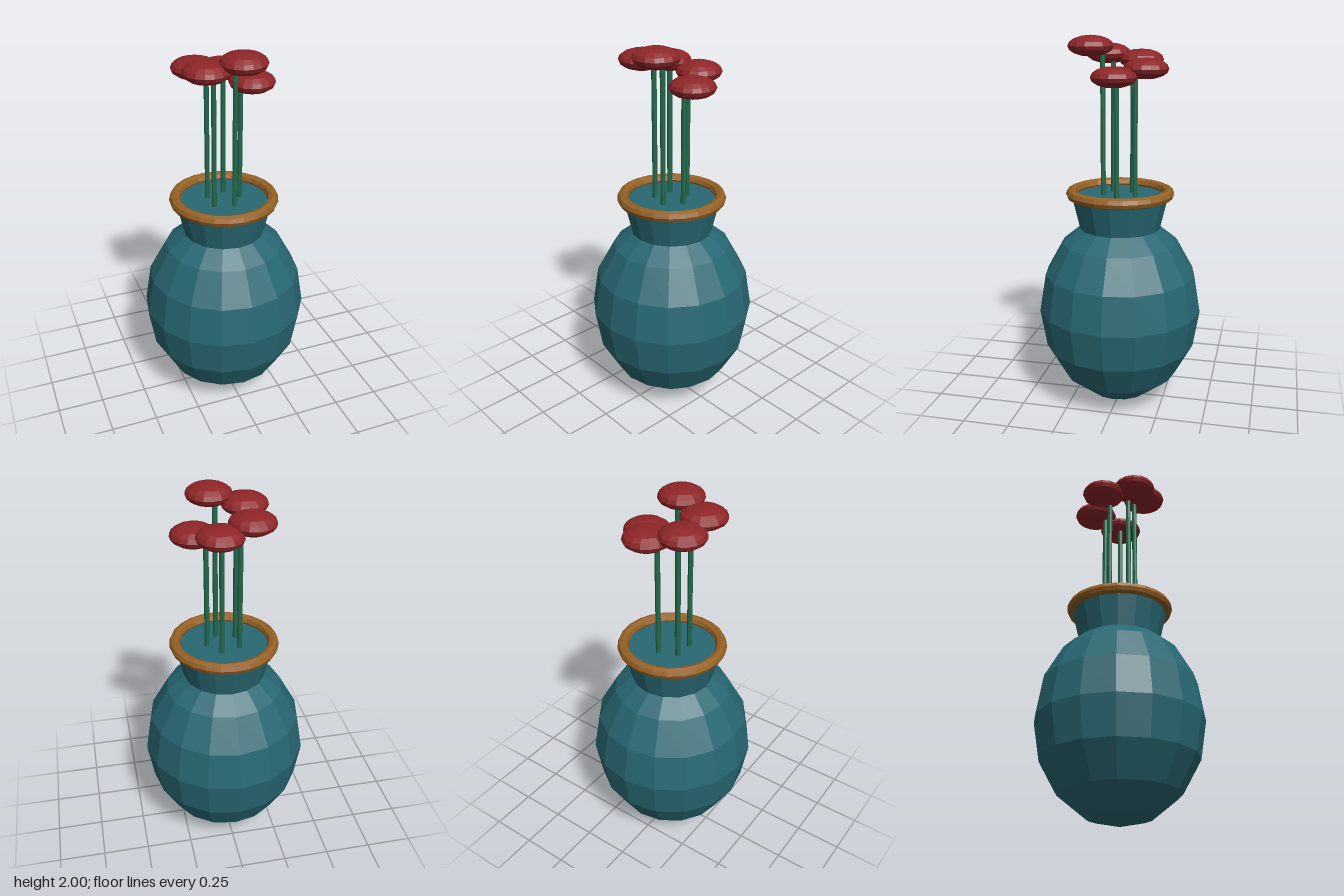
import * as THREE from 'three';

const material = (name, color) => {
  const m = new THREE.MeshStandardMaterial({ color, flatShading: true });
  m.name = name;
  return m;
};

export function createModel() {
  const teal = material('teal glaze', 0x286873);
  const gold = material('gold rim', 0x966124);
  const green = material('stem green', 0x22694a);
  const red = material('petal red', 0x8e2528);

  const model = new THREE.Group();
  model.name = 'vaseWithFlowers';
  const add = (name, geometry, mat, x, y, z) => {
    const mesh = new THREE.Mesh(geometry, mat);
    mesh.name = name;
    mesh.position.set(x, y, z);
    model.add(mesh);
    return mesh;
  };

  // Vase: stretched sphere, flared neck closed at the top, and a ring for the rim
  add('vaseBody', new THREE.SphereGeometry(0.445, 16, 8).scale(1, 1.2, 1), teal, 0, 0.534, 0);
  add('vaseNeck', new THREE.CylinderGeometry(0.26, 0.21, 0.21, 16), teal, 0, 1.065, 0);
  add('vaseRim', new THREE.TorusGeometry(0.26, 0.03, 8, 24).rotateX(Math.PI / 2), gold, 0, 1.18, 0);

  // Flowers: a ring of upright stems, each with a flattened head set further out
  const stemBase = 1.1;
  const headGeometry = new THREE.SphereGeometry(0.119, 16, 8).scale(1, 0.45, 1);
  [1.8, 1.947, 1.905, 1.875, 1.838].forEach((headY, i) => {
    const angle = (i / 5) * Math.PI * 2;
    const c = Math.cos(angle), s = Math.sin(angle);
    const length = headY - stemBase;
    add(`stem${i + 1}`, new THREE.CylinderGeometry(0.0135, 0.0135, length, 8), green,
      0.09 * c, stemBase + length / 2, 0.09 * s);
    add(`flowerHead${i + 1}`, headGeometry, red, 0.15 * c, headY, 0.15 * s);
  });

  return model;
}
